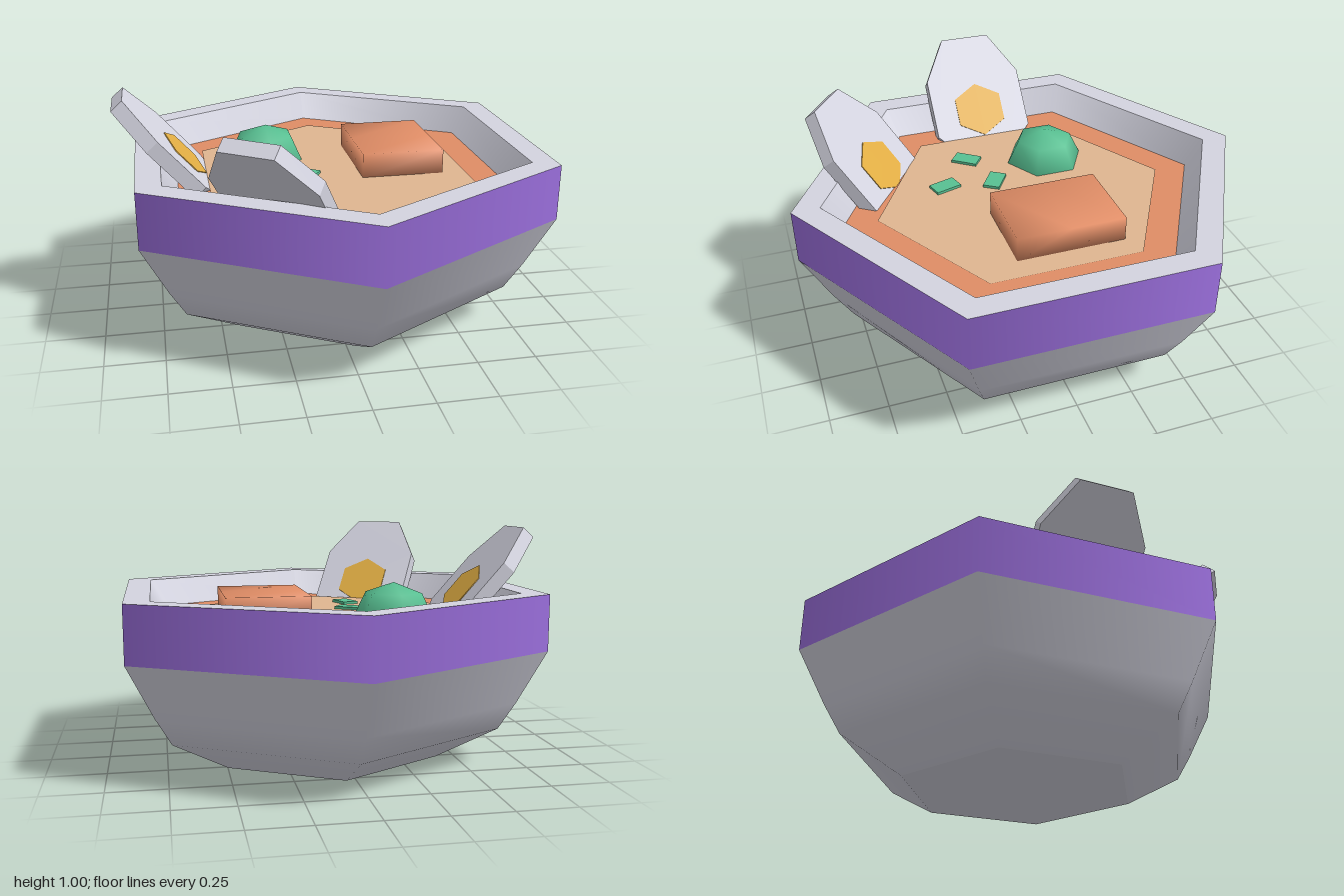
import * as THREE from 'three';
import { mergeVertices } from 'three/addons/utils/BufferGeometryUtils.js';

const mat = (name, color) => {
  const m = new THREE.MeshStandardMaterial({ color });
  m.name = name;
  return m;
};

export function createModel() {
  const ceramic = mat('pale ceramic', 0xd4d4e0);
  const purple = mat('purple glaze', 0x9a6edb);
  const orange = mat('salmon orange', 0xe08d66);
  const tan = mat('creamy broth', 0xe0b690);
  const green = mat('leaf green', 0x58c092);
  const yellow = mat('yolk yellow', 0xe2ae44);

  const model = new THREE.Group();
  model.name = 'soupBowl';

  const add = (name, geometry, material, parent = model) => {
    const m = new THREE.Mesh(geometry, material);
    m.name = name;
    parent.add(m);
    return m;
  };

  // Six-sided turned parts, sharing the bowl's axis
  const bowl = new THREE.Group();
  bowl.name = 'bowl';
  bowl.position.x = 0.04;
  model.add(bowl);
  const turned = (name, profile, material) =>
    add(name, new THREE.LatheGeometry(profile.map(p => new THREE.Vector2(...p)), 6), material, bowl);

  turned('bowlBase', [[0, 0], [0.53, 0]], ceramic);
  turned('bowlBody', [[0.53, 0], [0.8, 0.15], [0.875, 0.27], [1, 0.5]], ceramic);
  turned('bowlBand', [[1, 0.5], [1, 0.74]], purple);
  turned('bowlRim', [[1, 0.74], [0.88, 0.74]], ceramic);
  turned('bowlInnerWall', [[0.88, 0.74], [0.8, 0.62]], ceramic);
  turned('brothEdge', [[0.8, 0.62], [0, 0.62]], orange);
  turned('brothCentre', [[0.65, 0.624], [0, 0.624]], tan);

  // Green dome
  const dome = add('greenDome',
    new THREE.SphereGeometry(0.18, 6, 2, 0, Math.PI * 2, 0, Math.PI / 2), green);
  dome.scale.y = 0.85;
  dome.rotation.y = Math.PI / 6;
  dome.position.set(-0.235, 0.62, -0.2);

  // Salmon chunk: a block with soft, shared normals
  let block = new THREE.BoxGeometry(0.36, 0.11, 0.47, 1, 1, 2);
  block.deleteAttribute('normal');
  block.deleteAttribute('uv');
  block = mergeVertices(block);
  block.computeVertexNormals();
  add('salmonChunk', block, orange).position.set(0.32, 0.675, -0.055);

  // Chopped green slices: x, z, turn
  [[-0.32, 0.155, 0.93], [-0.1, 0.085, -0.58], [-0.125, 0.31, -1.28]].forEach(([x, z, turn], i) => {
    const slice = add('greenSlice' + (i + 1), new THREE.BoxGeometry(0.12, 0.012, 0.075), green);
    slice.position.set(x, 0.63, z);
    slice.rotation.y = turn;
  });

  // Egg halves: an eight-sided slab hanging from the middle of its top edge
  const outline = [[-0.115, 0], [-0.23, -0.2], [-0.23, -0.48], [-0.115, -0.6],
    [0.115, -0.6], [0.23, -0.48], [0.23, -0.2], [0.115, 0]];
  const slab = new THREE.ExtrudeGeometry(
    new THREE.Shape(outline.map(p => new THREE.Vector2(...p))),
    { depth: 0.065, bevelEnabled: false });
  slab.translate(0, 0, -0.065);
  const yolk = new THREE.CylinderGeometry(0.13, 0.13, 0.008, 6);
  yolk.rotateX(Math.PI / 2);

  const egg = (name, position, turn, tilt) => {
    const g = new THREE.Group();
    g.name = name;
    g.rotation.order = 'YXZ';
    g.rotation.set(-tilt, turn, 0);
    g.position.set(...position);
    add('eggWhite', slab, ceramic, g);
    add('yolk', yolk, yellow, g).position.set(0, -0.372, 0);
    model.add(g);
  };
  egg('sideEggHalf', [-0.86, 1, 0], Math.PI / 2, 0.73);
  egg('frontEggHalf', [-0.4, 1, 0.755], 2.535, 0.67);

  return model;
}
